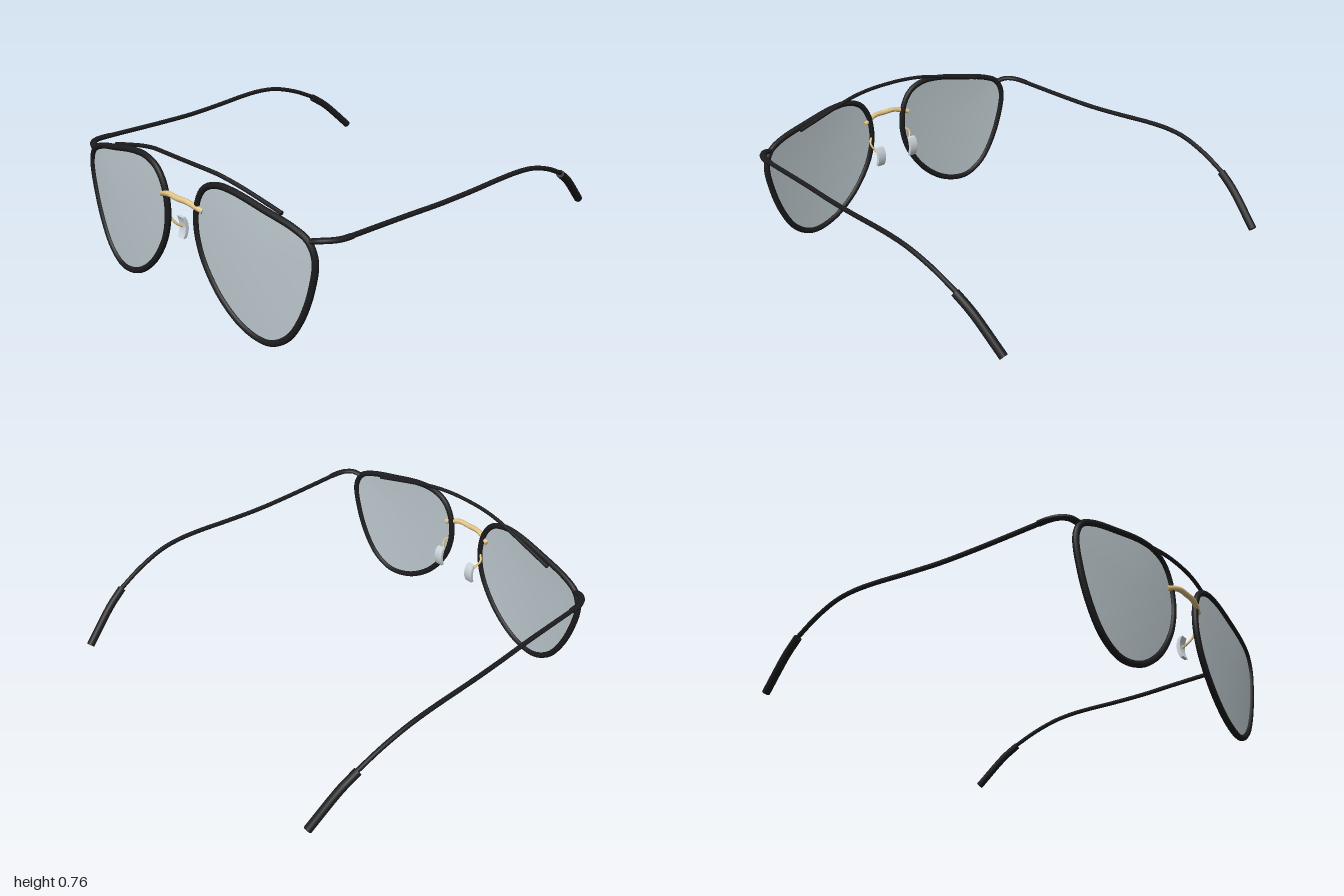
import * as THREE from 'three';
import { mergeGeometries } from 'three/addons/utils/BufferGeometryUtils.js';

const mat = (name, color, side = THREE.FrontSide) => {
  const m = new THREE.MeshStandardMaterial({ color, side });
  m.name = name;
  return m;
};

// Front curvature shared by the rims and lenses
const wrapZ = (x) => 0.963 - 0.09 * x * x;

const curveOf = (pts, s, closed = false) =>
  new THREE.CatmullRomCurve3(pts.map(([x, y, z]) => new THREE.Vector3(s * x, y, z)), closed, 'centripetal');

// Round wire with flat end caps
function wire(curve, radius, segments = 48) {
  const parts = [new THREE.TubeGeometry(curve, segments, radius, 12, curve.closed)];
  if (!curve.closed) {
    for (const t of [0, 1]) {
      const out = curve.getTangentAt(t).multiplyScalar(t ? 1 : -1);
      const cap = new THREE.CircleGeometry(radius, 12);
      cap.applyQuaternion(new THREE.Quaternion().setFromUnitVectors(new THREE.Vector3(0, 0, 1), out));
      const p = curve.getPointAt(t);
      parts.push(cap.translate(p.x, p.y, p.z));
    }
  }
  return mergeGeometries(parts);
}

// Curved lens: rings of the outline shrinking to its middle
function lensGeometry(curve, s) {
  const n = 96, rings = 8, cx = 0.47 * s, cy = 0.4;
  const outline = curve.getSpacedPoints(n);
  const pos = [], index = [];
  for (let r = 0; r <= rings; r++) {
    for (let i = 0; i <= n; i++) {
      const k = r / rings;
      const x = cx + (outline[i].x - cx) * k, y = cy + (outline[i].y - cy) * k;
      pos.push(x, y, wrapZ(x) + 0.006 * (1 - k * k));
      if (r < rings && i < n) {
        const a = r * (n + 1) + i, b = a + n + 1;
        if (s > 0) index.push(a, b + 1, b, a, a + 1, b + 1);
        else index.push(a, b, b + 1, a, b + 1, a + 1);
      }
    }
  }
  const g = new THREE.BufferGeometry();
  g.setAttribute('position', new THREE.Float32BufferAttribute(pos, 3));
  g.setIndex(index);
  g.computeVertexNormals();
  return g;
}

// Nose pad: thin plate bowed toward the back
function padGeometry() {
  const w = 0.05, h = 0.112;
  const g = new THREE.BoxGeometry(w, h, 0.018, 4, 12, 1);
  const p = g.attributes.position;
  for (let i = 0; i < p.count; i++) {
    const v = p.getY(i) / (h / 2);
    p.setX(i, p.getX(i) * (1 - 0.15 * v ** 4));
    p.setZ(i, p.getZ(i) - 0.015 * (1 - v * v));
  }
  g.computeVertexNormals();
  return g;
}

const RIM = [
  [0.11, 0.48], [0.13, 0.59], [0.18, 0.662], [0.265, 0.697], [0.37, 0.697], [0.55, 0.663],
  [0.725, 0.622], [0.80, 0.583], [0.835, 0.505], [0.812, 0.35], [0.755, 0.197], [0.685, 0.09],
  [0.6, 0.031], [0.525, 0.018], [0.4, 0.05], [0.265, 0.146], [0.16, 0.285], [0.12, 0.39],
].map(([x, y]) => [x, y, wrapZ(x)]);

const HINGE = [[0.81, 0.582, 0.9], [0.85, 0.596, 0.882], [0.882, 0.598, 0.845], [0.897, 0.595, 0.8], [0.9, 0.593, 0.75]];
const TEMPLE = [
  [0.898, 0.594, 0.8], [0.905, 0.587, 0.4], [0.914, 0.585, 0.2], [0.926, 0.592, 0], [0.937, 0.603, -0.2],
  [0.941, 0.604, -0.33], [0.939, 0.591, -0.45], [0.928, 0.546, -0.6], [0.915, 0.485, -0.735],
];
const TIP = [[0.917, 0.482, -0.73], [0.902, 0.42, -0.82], [0.872, 0.262, -0.987]];
const PAD_ARM = [[0.118, 0.45, 0.955], [0.14, 0.425, 0.935], [0.122, 0.38, 0.91], [0.115, 0.358, 0.878]];

// Mirrors a half path into a full one across x = 0
const across = (half) => [...half.slice(1).reverse().map(([x, y, z]) => [-x, y, z]), ...half];
const BROW = across([[0, 0.748, 0.948], [0.12, 0.746, 0.944], [0.24, 0.737, 0.931], [0.35, 0.717, 0.917], [0.45, 0.694, 0.906], [0.62, 0.652, 0.89]]);
const BRIDGE = across([[0, 0.566, 0.984], [0.06, 0.568, 0.981], [0.105, 0.558, 0.973], [0.155, 0.54, 0.958]]);

export function createModel() {
  const black = mat('black frame', 0x1c1c1e);
  const gold = mat('gold metal', 0xe2c486);
  const tint = mat('grey lens', 0xbecacf, THREE.DoubleSide);
  const clear = mat('pale pad', 0xd3dce2);

  const model = new THREE.Group();
  model.name = 'sunglasses';
  const add = (name, geometry, material) => {
    const mesh = new THREE.Mesh(geometry, material);
    mesh.name = name;
    model.add(mesh);
    return mesh;
  };

  // Centre pieces
  add('browBar', wire(curveOf(BROW, 1), 0.01, 72), black);
  add('bridge', wire(curveOf(BRIDGE, 1), 0.014, 40), gold);

  // Paired pieces
  for (const [side, s] of [['left', 1], ['right', -1]]) {
    const outline = curveOf(RIM, s, true);
    add(side + 'Rim', wire(outline, 0.016, 128), black);
    add(side + 'Lens', lensGeometry(outline, s), tint);
    // The hinge is wider than it is tall
    const hinge = wire(curveOf(HINGE, s), 0.018, 24);
    add(side + 'Hinge', hinge.translate(0, -0.594, 0).scale(1, 0.7, 1).translate(0, 0.594, 0), black);
    add(side + 'Temple', wire(curveOf(TEMPLE, s), 0.012, 80), black);
    add(side + 'TempleTip', wire(curveOf(TIP, s), 0.021, 20), black);
    add(side + 'PadArm', wire(curveOf(PAD_ARM, s), 0.006, 20), gold);
    const pad = add(side + 'NosePad', padGeometry(), clear);
    pad.position.set(s * 0.115, 0.357, 0.885);
  }
  return model;
}
